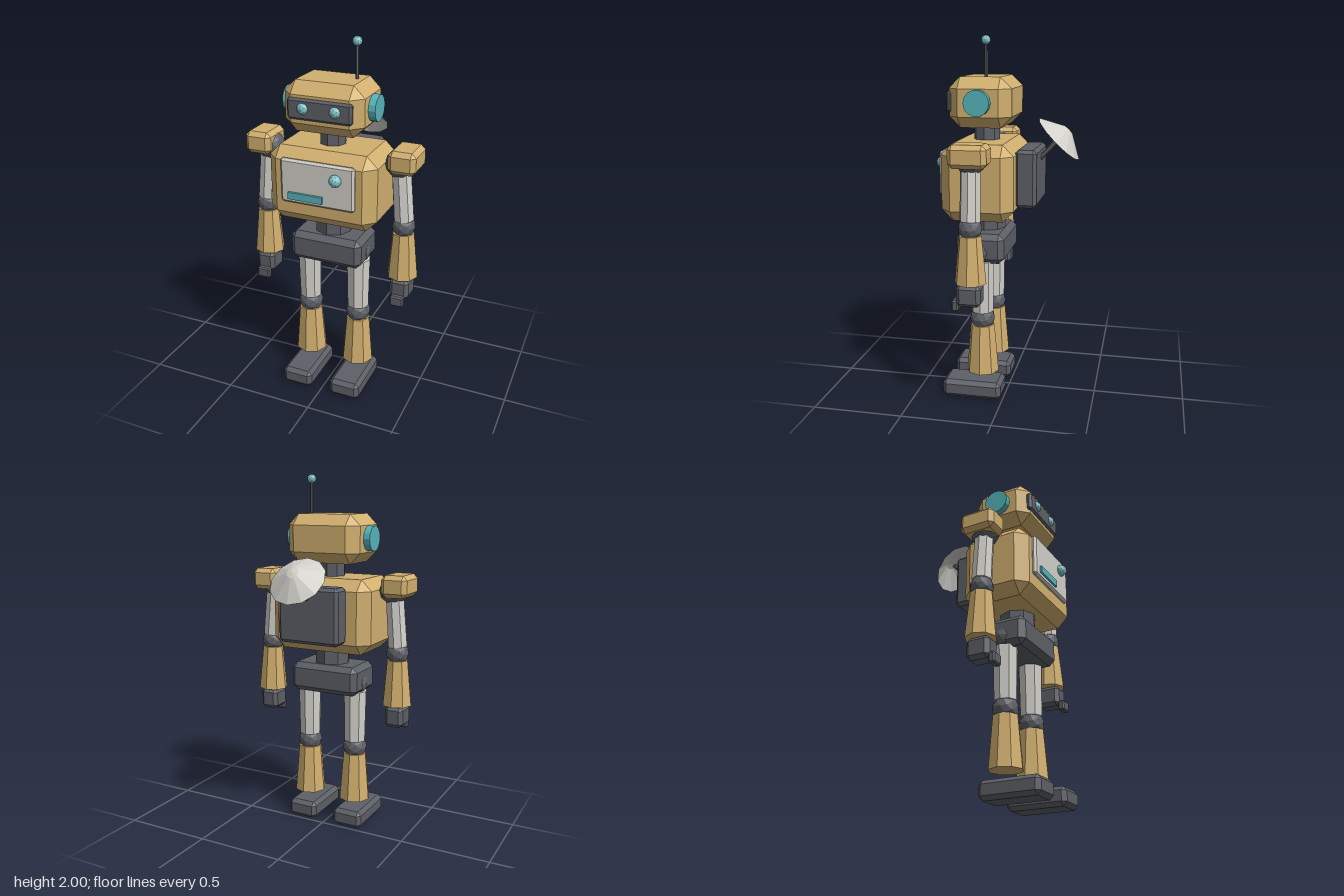
import * as THREE from 'three';
import { ConvexGeometry } from 'three/addons/geometries/ConvexGeometry.js';

const MID = 0.125; // depth of the body's centre line

const paint = (name, color) => {
  const m = new THREE.MeshStandardMaterial({ color });
  m.name = name;
  return m;
};

// Faceted look: every face gets its own normal
function flat(geometry) {
  const g = geometry.index ? geometry.toNonIndexed() : geometry;
  g.computeVertexNormals();
  return g;
}

// Box with all edges cut at 45 degrees by c
function chamferBox(w, h, d, c) {
  const pts = [];
  for (const x of [-1, 1]) for (const y of [-1, 1]) for (const z of [-1, 1]) {
    for (let full = 0; full < 3; full++) {
      const size = [w, h, d].map((s, i) => s / 2 - (i === full ? 0 : c));
      pts.push(new THREE.Vector3(x * size[0], y * size[1], z * size[2]));
    }
  }
  return new ConvexGeometry(pts);
}

export function createModel() {
  const root = new THREE.Group();
  root.name = 'robot';

  const tan = paint('tan shell', 0xd2b06f);
  const dark = paint('dark metal', 0x5d6067);
  const light = paint('light metal', 0xd2d0ca);
  const teal = paint('teal accent', 0x56b4bb);
  const glow = paint('pale teal lamp', 0x84c4ca);

  const add = (parent, name, geometry, material, x = 0, y = 0, z = 0) => {
    const mesh = new THREE.Mesh(geometry, material);
    mesh.name = name;
    mesh.position.set(x, y, z);
    parent.add(mesh);
    return mesh;
  };
  // Chamfered box given by its extents on each axis
  const box = (parent, name, mat, [x0, x1], [y0, y1], [z0, z1], c) =>
    add(parent, name, chamferBox(x1 - x0, y1 - y0, z1 - z0, c), mat,
      (x0 + x1) / 2, (y0 + y1) / 2, (z0 + z1) / 2);
  const ball = (parent, name, mat, r, x, y, z = MID) =>
    add(parent, name, flat(new THREE.IcosahedronGeometry(r, 1)), mat, x, y, z);
  // Tapered rod from point a to point b
  const rod = (parent, name, mat, a, b, ra, rb, sides = 8) => {
    const from = new THREE.Vector3(...a), to = new THREE.Vector3(...b);
    const dir = to.clone().sub(from);
    const mid = from.clone().add(to).multiplyScalar(0.5);
    const mesh = add(parent, name, flat(new THREE.CylinderGeometry(rb, ra, dir.length(), sides)), mat, mid.x, mid.y, mid.z);
    mesh.quaternion.setFromUnitVectors(new THREE.Vector3(0, 1, 0), dir.normalize());
    return mesh;
  };

  // Torso
  box(root, 'torso', tan, [-0.3, 0.3], [1.04, 1.45], [-0.07, 0.32], 0.06);
  box(root, 'chestPanel', light, [-0.205, 0.205], [1.165, 1.405], [0.31, 0.342], 0.012);
  add(root, 'chestBar', new THREE.BoxGeometry(0.192, 0.038, 0.02), teal, -0.062, 1.21, 0.345);
  ball(root, 'chestKnob', glow, 0.033, 0.107, 1.33, 0.35);
  rod(root, 'waist', dark, [0, 0.93, MID], [0, 1.06, MID], 0.1, 0.1);
  box(root, 'pelvis', dark, [-0.205, 0.205], [0.79, 0.955], [-0.005, 0.26], 0.03);

  // Head
  const head = new THREE.Group();
  head.name = 'head';
  root.add(head);
  rod(head, 'neck', dark, [0, 1.43, MID], [0, 1.54, MID], 0.072, 0.072);
  box(head, 'skull', tan, [-0.217, 0.217], [1.525, 1.79], [-0.043, 0.293], 0.06);
  box(head, 'visor', dark, [-0.175, 0.175], [1.605, 1.715], [0.27, 0.306], 0.012);
  rod(head, 'antennaRod', dark, [0.12, 1.77, 0.1], [0.12, 1.97, 0.1], 0.009, 0.009, 6);
  ball(head, 'antennaTip', glow, 0.025, 0.12, 1.975, 0.1);

  // Backpack with dish
  box(root, 'backpack', dark, [-0.18, 0.18], [1.105, 1.415], [-0.177, -0.06], 0.018);
  rod(root, 'dishArm', dark, [0, 1.33, -0.15], [0, 1.49, -0.3], 0.013, 0.013, 6);
  const dishMat = light.clone();
  dishMat.name = 'light metal sheet';
  dishMat.side = THREE.DoubleSide;
  const profile = [[0, 0.075], [0.035, 0.068], [0.155, 0]].map(p => new THREE.Vector2(...p));
  const dish = add(root, 'dish', flat(new THREE.LatheGeometry(profile.reverse(), 12)), dishMat, 0, 1.458, -0.272);
  dish.rotation.x = -Math.PI / 4;

  // Mirrored parts
  for (const [side, s] of [['left', 1], ['right', -1]]) {
    const span = (a, b) => (s > 0 ? [a, b] : [-b, -a]);

    rod(head, side + 'Ear', teal, [s * 0.2, 1.66, MID], [s * 0.254, 1.66, MID], 0.069, 0.069, 14);
    ball(head, side + 'Eye', glow, 0.034, s * 0.087, 1.665, 0.292);

    const arm = new THREE.Group();
    arm.name = side + 'Arm';
    root.add(arm);
    ball(arm, 'shoulder', dark, 0.08, s * 0.372, 1.388);
    box(arm, 'shoulderPad', tan, span(0.328, 0.476), [1.355, 1.475], [0.025, 0.225], 0.024);
    rod(arm, 'upperArm', light, [s * 0.4, 1.08, MID], [s * 0.375, 1.38, MID], 0.055, 0.052);
    ball(arm, 'elbow', dark, 0.063, s * 0.4, 1.043);
    rod(arm, 'forearm', tan, [s * 0.403, 0.752, MID], [s * 0.4, 1.006, MID], 0.084, 0.06);
    box(arm, 'hand', dark, span(0.35, 0.457), [0.63, 0.748], [0.065, 0.195], 0.02);
    box(arm, 'finger', dark, span(0.366, 0.441), [0.6, 0.66], [0.185, 0.222], 0.008);

    const leg = new THREE.Group();
    leg.name = side + 'Leg';
    root.add(leg);
    ball(leg, 'hip', dark, 0.072, s * 0.147, 0.85);
    rod(leg, 'thigh', light, [s * 0.147, 0.505, MID], [s * 0.147, 0.8, MID], 0.062, 0.068);
    ball(leg, 'knee', dark, 0.07, s * 0.147, 0.465);
    rod(leg, 'shin', tan, [s * 0.147, 0.15, MID], [s * 0.147, 0.428, MID], 0.091, 0.068);
    box(leg, 'foot', dark, span(0.057, 0.235), [0, 0.1], [0.01, 0.345], 0.022);
  }
  return root;
}
